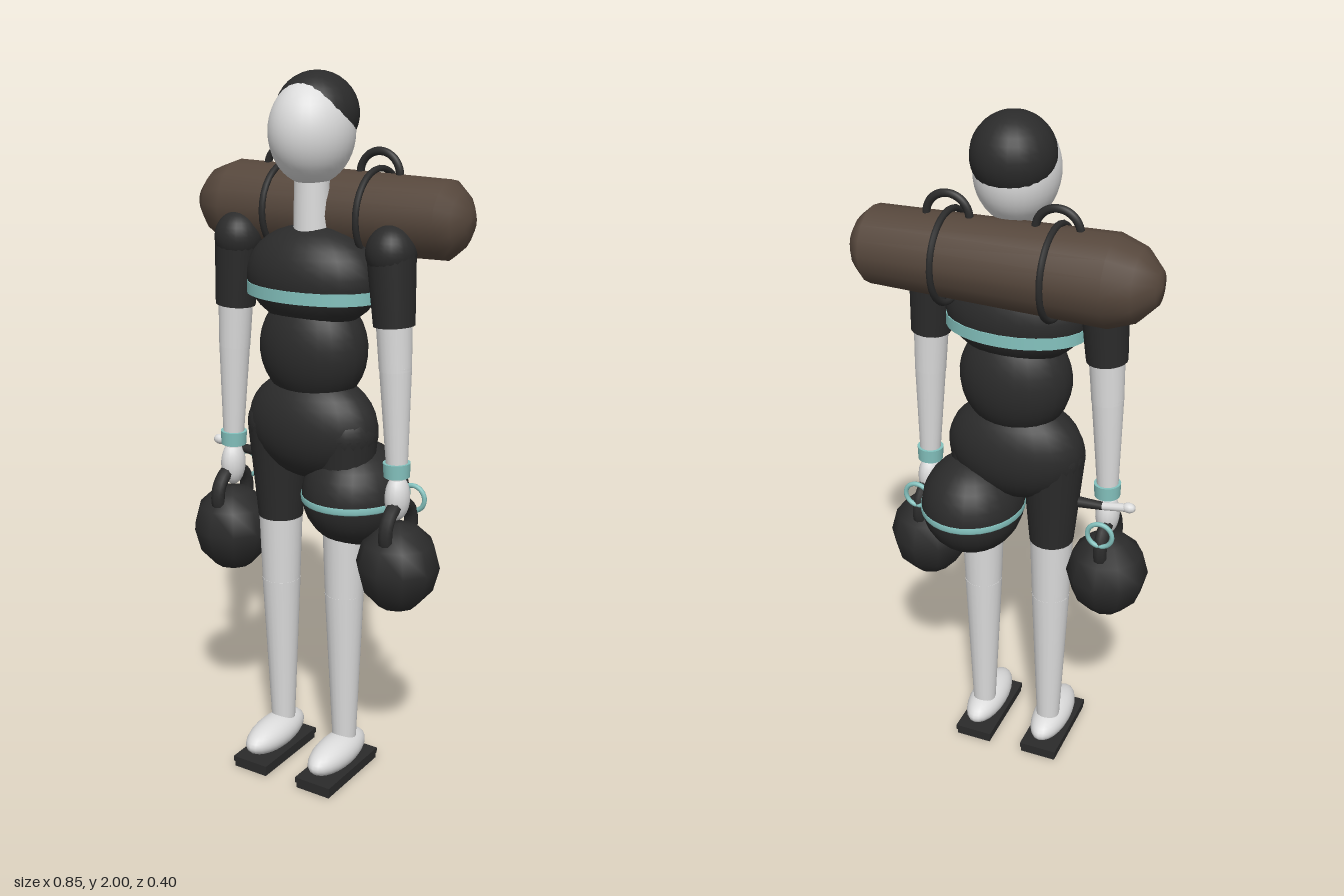
import * as THREE from 'three';

const paint = (name, color) => {
  const m = new THREE.MeshStandardMaterial({ color });
  m.name = name;
  return m;
};

export function createModel() {
  const black = paint('black cloth', 0x2b2b2b);
  const skin = paint('pale skin', 0xdcdcdc);
  const brown = paint('brown roll', 0x56473c);
  const aqua = paint('aqua trim', 0x84c2be);

  const model = new THREE.Group();
  model.name = 'figure';

  const add = (name, geo, mat, x = 0, y = 0, z = 0) => {
    const m = new THREE.Mesh(geo, mat);
    m.name = name;
    m.position.set(x, y, z);
    model.add(m);
    return m;
  };
  const ball = (name, mat, [x, y, z], [rx, ry, rz], seg = 24) =>
    add(name, new THREE.SphereGeometry(1, seg, Math.round(seg * 0.7)).scale(rx, ry, rz), mat, x, y, z);
  // tapered limb between two points
  const limb = (name, mat, a, b, ra, rb, seg = 20) => {
    const A = new THREE.Vector3(...a), B = new THREE.Vector3(...b);
    const d = B.clone().sub(A);
    const m = add(name, new THREE.CylinderGeometry(rb, ra, d.length(), seg), mat);
    m.position.copy(A).addScaledVector(d, 0.5);
    m.quaternion.setFromUnitVectors(new THREE.Vector3(0, 1, 0), d.normalize());
    return m;
  };
  const torus = (R, r, arc = Math.PI * 2) => new THREE.TorusGeometry(R, r, 8, 32, arc);

  // head and neck
  ball('head', skin, [0, 1.845, 0.03], [0.112, 0.138, 0.125], 32);
  ball('hair', black, [0, 1.89, 0.005], [0.111, 0.11, 0.115], 24);
  limb('neck', skin, [0, 1.56, 0.03], [0, 1.76, 0.03], 0.051, 0.046);

  // torso
  ball('chest', black, [0, 1.464, 0.025], [0.2, 0.141, 0.13]);
  ball('waist', black, [0, 1.268, 0.022], [0.16, 0.165, 0.12]);
  ball('pelvis', black, [0, 1.05, 0.026], [0.2, 0.155, 0.123]);
  add('chestBand', new THREE.CylinderGeometry(1, 1, 0.033, 32).scale(0.199, 1, 0.131), aqua, 0, 1.427, 0.025);

  // padded bulge on the left hip with its strap
  ball('hipPad', black, [0.118, 0.86, -0.012], [0.147, 0.15, 0.163]);
  add('hipStrap', torus(1, 0.01).scale(0.148, 0.165, 1).rotateX(Math.PI / 2), aqua, 0.118, 0.855, -0.012);

  // kettlebell outline
  const bell = [[0, 0], [0.055, 0], [0.1, 0.05], [0.118, 0.118], [0.1, 0.185], [0.055, 0.228], [0, 0.24]]
    .map(([r, y]) => new THREE.Vector2(r, y));

  for (const [s, side] of [[1, 'left'], [-1, 'right']]) {
    // arm
    ball(side + 'Shoulder', black, [s * 0.242, 1.55, 0.028], [0.067, 0.072, 0.07]);
    limb(side + 'Sleeve', black, [s * 0.243, 1.55, 0.028], [s * 0.256, 1.36, 0.03], 0.066, 0.056);
    limb(side + 'UpperArm', skin, [s * 0.255, 1.38, 0.03], [s * 0.262, 1.24, 0.03], 0.049, 0.044);
    limb(side + 'Forearm', skin, [s * 0.262, 1.25, 0.03], [s * 0.273, 0.94, 0.03], 0.044, 0.028);
    limb(side + 'Bracelet', aqua, [s * 0.272, 0.945, 0.03], [s * 0.271, 0.985, 0.03], 0.036, 0.038);
    ball(side + 'Hand', skin, [s * 0.275, 0.885, 0.03], [0.034, 0.065, 0.04], 16);
    add(side + 'HandRing', torus(0.036, 0.007), aqua, s * 0.28, 0.86, -0.05);

    // kettlebell
    add(side + 'Kettlebell', new THREE.LatheGeometry(bell, 10), black, s * 0.28, 0.572, 0.03);
    add(side + 'KettlebellHandle', torus(0.072, 0.02).rotateY(Math.PI / 2), black, s * 0.28, 0.795, 0.03);

    // leg
    ball(side + 'Hip', black, [s * 0.11, 1.04, 0.03], [0.09, 0.09, 0.09]);
    limb(side + 'Shorts', black, [s * 0.11, 1.04, 0.03], [s * 0.108, 0.76, 0.03], 0.09, 0.064);
    limb(side + 'Thigh', skin, [s * 0.108, 0.78, 0.03], [s * 0.108, 0.555, 0.03], 0.063, 0.055);
    limb(side + 'Shin', skin, [s * 0.108, 0.565, 0.03], [s * 0.108, 0.08, 0.025], 0.056, 0.034);
    ball(side + 'Foot', skin, [s * 0.109, 0.072, 0.068], [0.056, 0.048, 0.132]);
    add(side + 'Sole', new THREE.BoxGeometry(0.11, 0.016, 0.265), black, s * 0.109, 0.008, 0.068);
    add(side + 'Insole', new THREE.BoxGeometry(0.116, 0.016, 0.27), black, s * 0.109, 0.025, 0.068);

    // straps and carrying loops of the roll
    add(side + 'RollStrap', torus(0.122, 0.009).rotateY(Math.PI / 2), black, s * 0.147, 1.628, -0.07);
    add(side + 'RollLoop', torus(0.06, 0.011, Math.PI), black, s * 0.149, 1.735, -0.07);
  }

  // small rod in the right hand
  limb('rodGrip', black, [-0.27, 0.925, 0], [-0.2, 0.922, 0], 0.012, 0.016, 10);
  limb('rodShaft', skin, [-0.27, 0.925, 0], [-0.345, 0.937, 0], 0.012, 0.012, 10);
  ball('rodTip', skin, [-0.345, 0.937, 0], [0.02, 0.015, 0.015], 10);

  // bed roll, slightly slimmer toward its left end
  const roll = [[0, -0.425], [0.045, -0.418], [0.095, -0.37], [0.12, -0.3], [0.105, 0.36],
    [0.075, 0.395], [0.035, 0.418], [0, 0.421]].map(([r, x]) => new THREE.Vector2(r, x));
  add('bedRoll', new THREE.LatheGeometry(roll, 16).rotateZ(-Math.PI / 2), brown, 0, 1.63, -0.07);

  return model;
}
